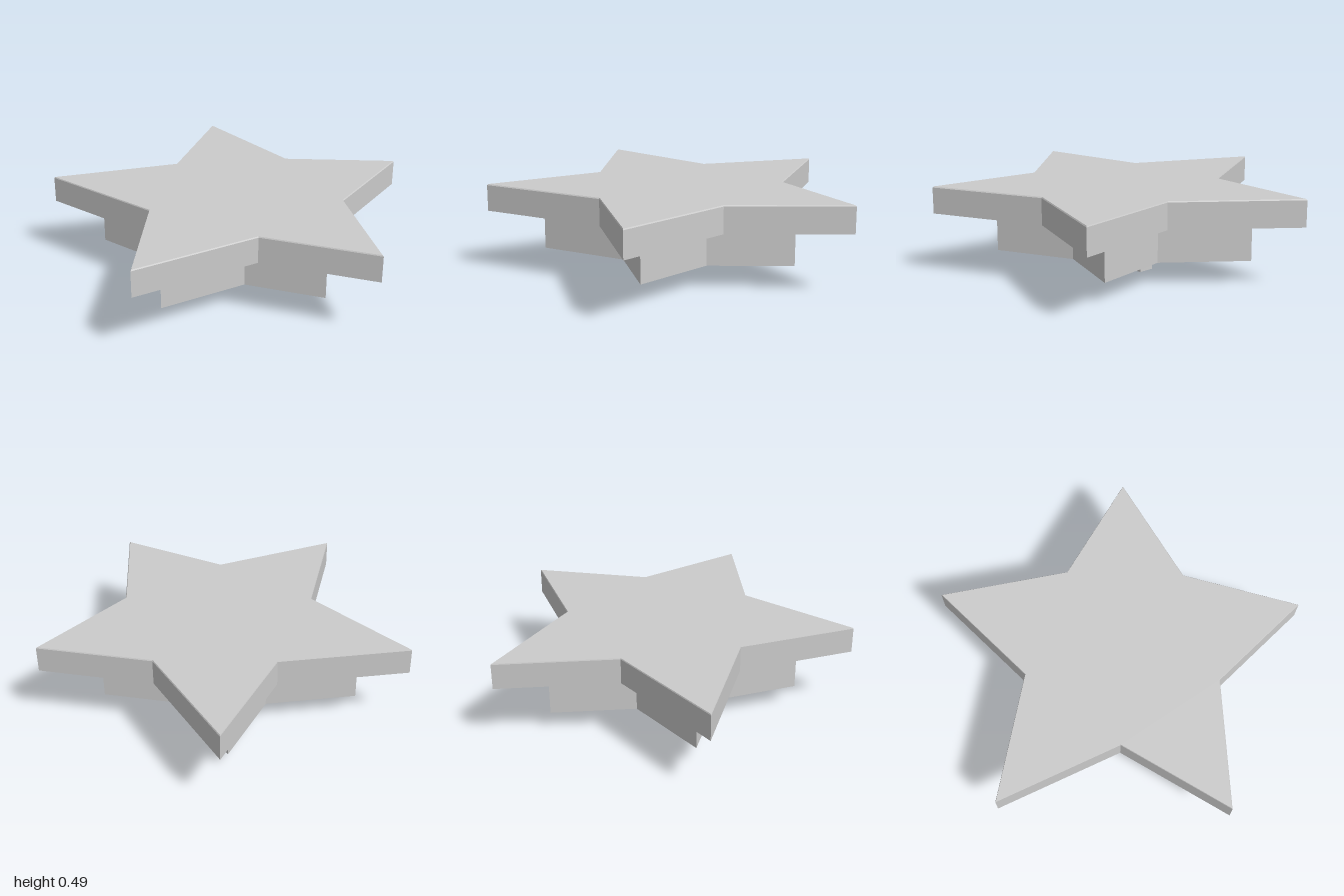
import * as THREE from 'three';

const material = new THREE.MeshStandardMaterial({ color: 0xcccccc, flatShading: true });

// Five-pointed outline with one tip towards -x; tips and notches have slightly different centres
function starShape(scale) {
  const points = [];
  for (let i = 0; i < 10; i++) {
    const tip = i % 2 === 1;
    const angle = (i * Math.PI) / 5;
    const radius = tip ? 1.05 : 0.557;
    const centre = tip ? 0.1 : 0.145;
    points.push(new THREE.Vector2(
      scale * (centre + radius * Math.cos(angle)),
      scale * radius * Math.sin(angle)
    ));
  }
  return new THREE.Shape(points);
}

// Upright star prism from y = bottom to y = top, with an optional fine chamfer on its upper rim
function starPrism(name, scale, bottom, top, chamfer = 0) {
  const height = top - bottom;
  const geometry = new THREE.ExtrudeGeometry(starShape(scale), {
    depth: height, steps: chamfer ? 2 : 1, bevelEnabled: false
  });
  if (chamfer) {
    const p = geometry.attributes.position;
    for (let i = 0; i < p.count; i++) {
      const z = p.getZ(i);
      if (z > height * 0.75) p.setXY(i, p.getX(i) * (1 - chamfer), p.getY(i) * (1 - chamfer));
      else if (z > height * 0.25) p.setZ(i, height - chamfer);
    }
  }
  geometry.rotateX(-Math.PI / 2);
  geometry.translate(0, bottom, 0);
  geometry.computeVertexNormals();
  const mesh = new THREE.Mesh(geometry, material);
  mesh.name = name;
  return mesh;
}

export function createModel() {
  const group = new THREE.Group();
  group.name = 'starButton';

  // Wide cap on top of a smaller star body
  group.add(starPrism('starCap', 1, 0.335, 0.485, 0.006));
  group.add(starPrism('starBody', 0.7, 0.11, 0.335));

  // Two flat contact pins underneath
  for (const [name, z] of [['frontPin', 0.205], ['backPin', -0.155]]) {
    const pin = new THREE.Mesh(new THREE.BoxGeometry(0.092, 0.12, 0.028), material);
    pin.name = name;
    pin.position.set(0.103, 0.06, z);
    group.add(pin);
  }
  return group;
}
